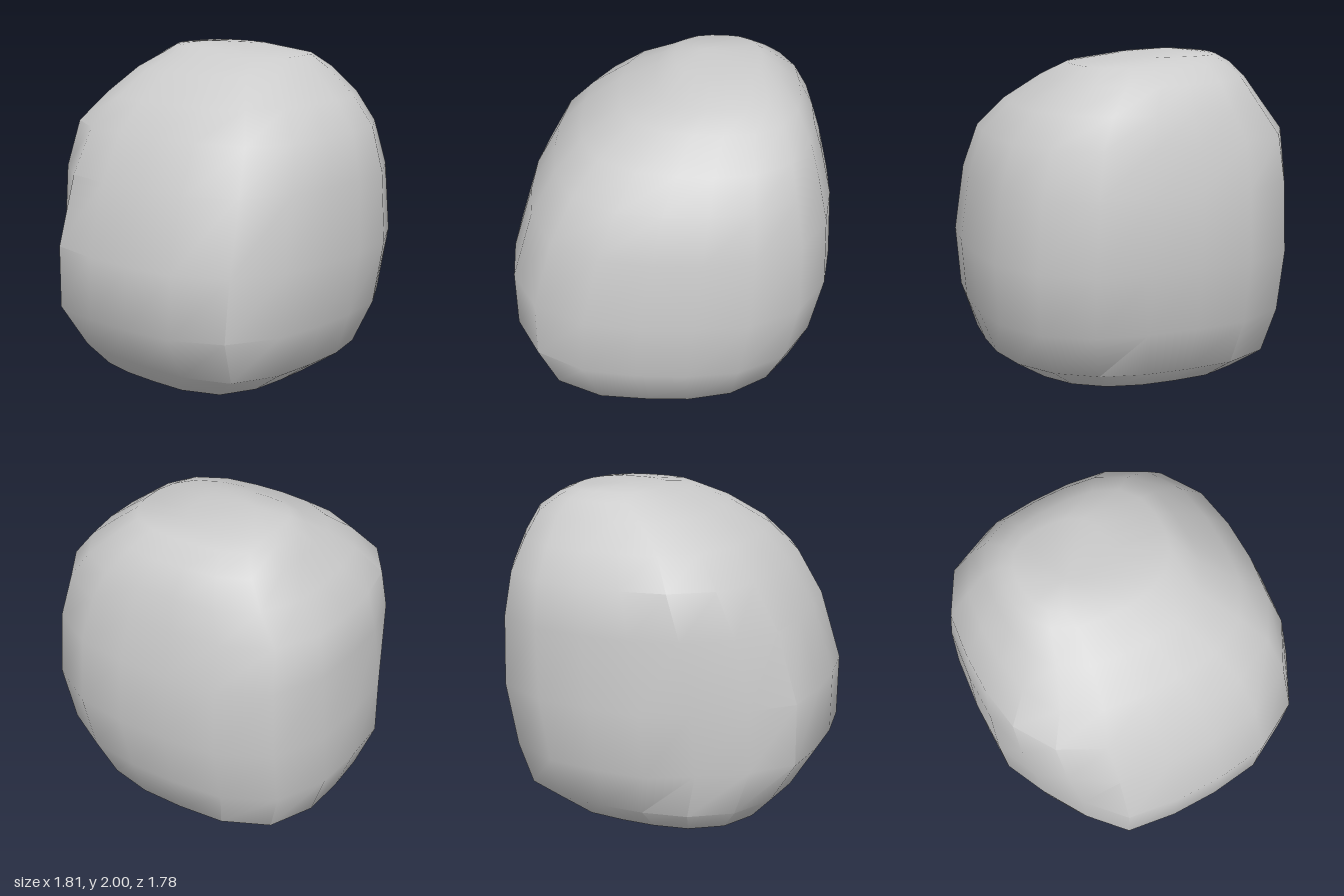
import * as THREE from 'three';
import { mergeVertices, toCreasedNormals } from 'three/addons/utils/BufferGeometryUtils.js';

// Corner squareness at three heights: front-left, front-right, back-right, back-left
const LOW = [2.3, 3.7, 2.7, 3.4];
const MID = [2.8, 3.0, 2.8, 3.2];
const HIGH = [2.7, 2.5, 2.5, 2.7];

// Boulder cross-sections from bottom to top: y, xMin, xMax, zMin, zMax, squareness
const SECTIONS = [
  [0.02, -0.26, 0.15, -0.27, 0.16, HIGH],
  [0.18, -0.63, 0.55, -0.65, 0.57, LOW],
  [0.32, -0.76, 0.75, -0.79, 0.77, LOW],
  [0.57, -0.91, 0.83, -0.88, 0.86, MID],
  [0.92, -0.91, 0.90, -0.89, 0.89, MID],
  [1.31, -0.79, 0.88, -0.87, 0.85, MID],
  [1.56, -0.65, 0.82, -0.84, 0.78, MID],
  [1.72, -0.50, 0.77, -0.71, 0.64, MID],
  [1.86, -0.29, 0.69, -0.60, 0.46, MID],
  [1.94, -0.10, 0.58, -0.53, 0.35, HIGH],
  [1.98, 0.00, 0.48, -0.46, 0.05, HIGH],
];
const SIDES = 20;
const BOTTOM = [0.13, 0, -0.22];
const TOP = [0.16, 2, -0.24];

// Upright plane that chisels a flat face across one back corner
const CHISEL = new THREE.Plane(new THREE.Vector3(-0.52, 0, -0.854), -0.87);

// Rounded-square ring with its own half-widths, cut back to the chisel plane
function ring([y, x0, x1, z0, z1, squareness]) {
  const points = [];
  for (let i = 0; i < SIDES; i++) {
    const a = ((i + 0.5) / SIDES) * Math.PI * 2;
    const c = Math.cos(a), s = Math.sin(a);
    const e = squareness[Math.floor((4 * i) / SIDES)];
    const r = Math.pow(Math.abs(c) ** e + Math.abs(s) ** e, -1 / e);
    const p = new THREE.Vector3((x0 + x1 + c * r * (x1 - x0)) / 2, y, (z0 + z1 + s * r * (z1 - z0)) / 2);
    if (CHISEL.distanceToPoint(p) > 0) CHISEL.projectPoint(p.clone(), p);
    points.push(p.x, p.y, p.z);
  }
  return points;
}

function boulderGeometry() {
  const positions = [...SECTIONS.flatMap(ring), ...BOTTOM, ...TOP];
  const bottom = SECTIONS.length * SIDES, top = bottom + 1;
  const last = (SECTIONS.length - 1) * SIDES;
  const index = [];
  for (let i = 0; i < SIDES; i++) {
    const j = (i + 1) % SIDES;
    index.push(bottom, i, j, top, last + j, last + i);
    for (let k = 0; k < SECTIONS.length - 1; k++) {
      const a = k * SIDES + i, b = k * SIDES + j;
      index.push(a, a + SIDES, b, b, a + SIDES, b + SIDES);
    }
  }
  const geometry = new THREE.BufferGeometry();
  geometry.setAttribute('position', new THREE.Float32BufferAttribute(positions, 3));
  geometry.setIndex(index);
  return toCreasedNormals(mergeVertices(geometry), THREE.MathUtils.degToRad(40));
}

export function createModel() {
  const stone = new THREE.MeshStandardMaterial({ color: 0xcccccc });
  stone.name = 'grey stone';
  const boulder = new THREE.Mesh(boulderGeometry(), stone);
  boulder.name = 'boulder';
  const group = new THREE.Group();
  group.name = 'rock';
  group.add(boulder);
  return group;
}
